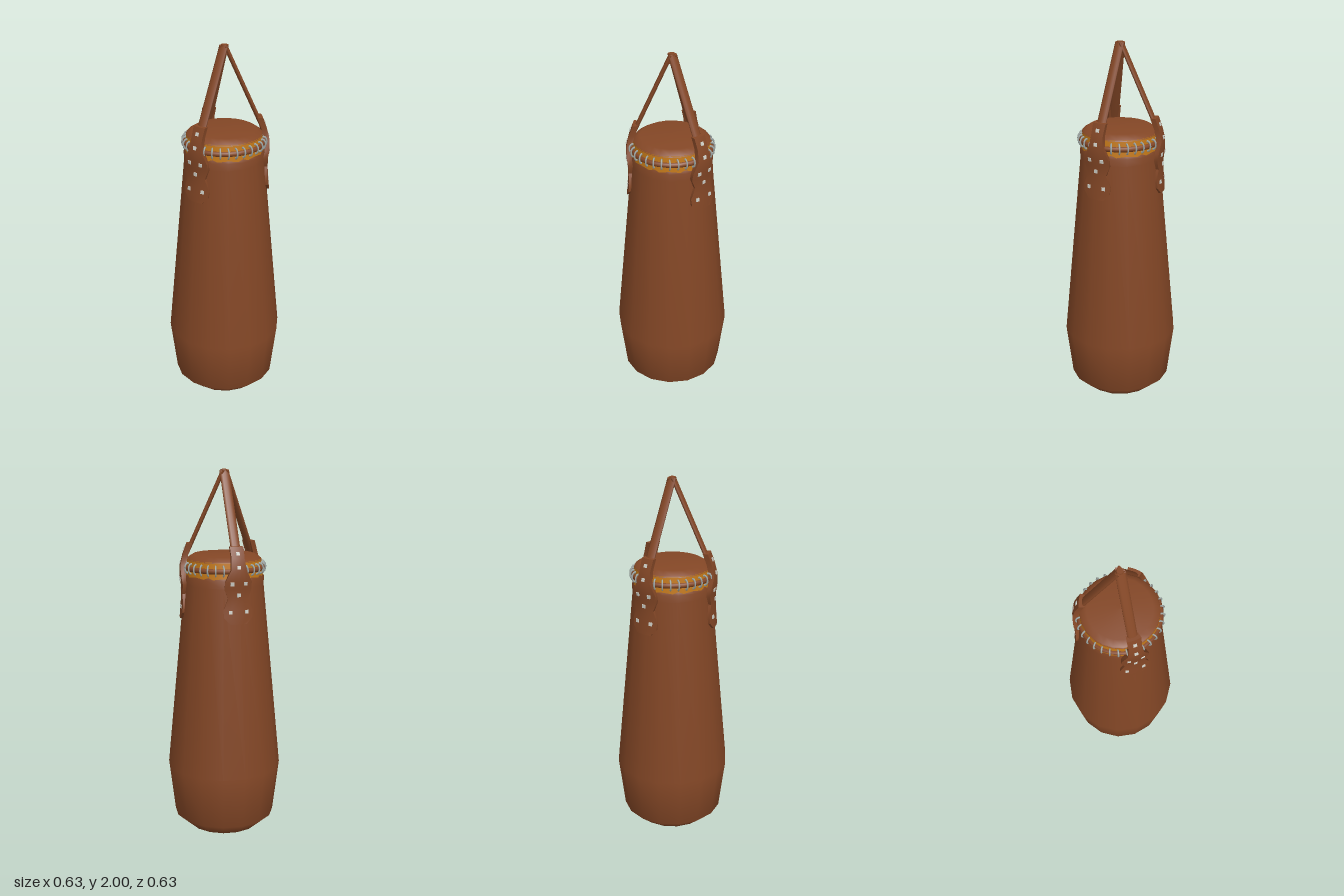
import * as THREE from 'three';
import { toCreasedNormals } from 'three/addons/utils/BufferGeometryUtils.js';

const material = (name, color) => {
  const m = new THREE.MeshStandardMaterial({ color });
  m.name = name;
  return m;
};

function part(name, geometry, mat, parent) {
  const mesh = new THREE.Mesh(geometry, mat);
  mesh.name = name;
  parent.add(mesh);
  return mesh;
}

const lathe = (profile, sides) =>
  new THREE.LatheGeometry(profile.map(([r, y]) => new THREE.Vector2(r, y)), sides);

// Anchor pad rows from top to bottom: height, outer radius, half width, thickness
const PAD_ROWS = [
  [1.61, 0.204, 0.038, 0.03], [1.55, 0.226, 0.036, 0.03], [1.49, 0.241, 0.043, 0.03],
  [1.43, 0.242, 0.075, 0.025], [1.39, 0.236, 0.077, 0.025], [1.34, 0.234, 0.057, 0.02],
  [1.28, 0.238, 0.083, 0.02], [1.24, 0.242, 0.08, 0.02], [1.205, 0.244, 0.045, 0.02],
];

// Curved leather plate lofted through crescent cross-sections
function padGeometry() {
  const cols = 5, n = cols * 2, pos = [], index = [];
  for (const [y, r, half, thick] of PAD_ROWS) {
    for (let j = 0; j < n; j++) {
      const outer = j < cols;
      const k = outer ? j : n - 1 - j;
      const t = (k / (cols - 1) * 2 - 1) * half / r;
      const rad = outer ? r : r - thick;
      pos.push(rad * Math.sin(t), y, rad * Math.cos(t));
    }
  }
  const last = (PAD_ROWS.length - 1) * n;
  for (let row = 0; row < last; row += n) {
    for (let j = 0; j < n; j++) {
      const a = row + j, b = row + (j + 1) % n;
      index.push(a, a + n, b, b, a + n, b + n);
    }
  }
  for (let k = 0; k < cols - 1; k++) {
    const a = k, b = k + 1, c = n - 2 - k, d = n - 1 - k;
    index.push(a, b, c, a, c, d);
    index.push(last + a, last + c, last + b, last + a, last + d, last + c);
  }
  const geo = new THREE.BufferGeometry();
  geo.setAttribute('position', new THREE.Float32BufferAttribute(pos, 3));
  geo.setIndex(index);
  return toCreasedNormals(geo, 0.6);
}

// Outer pad radius at a given height
function padRadius(y) {
  const i = PAD_ROWS.findIndex((row) => row[0] <= y);
  const [y0, r0] = PAD_ROWS[i - 1], [y1, r1] = PAD_ROWS[i];
  return r0 + (r1 - r0) * (y0 - y) / (y0 - y1);
}

export function createModel() {
  const leather = material('brown leather', 0x844726);
  const padding = material('orange lining', 0xc27818);
  const thread = material('grey thread', 0xa3aba8);
  const metal = material('pale metal', 0xcfd0c8);

  const model = new THREE.Group();
  model.name = 'punchingBag';

  // Tapered bag, lining exposed at the seam, and domed lid
  part('bagBody', lathe([[0, 0], [0.2, 0], [0.28, 0.07], [0.315, 0.36],
    [0.216, 1.39], [0.219, 1.43], [0.204, 1.455]], 16), leather, model);
  part('seamLining', lathe([[0.212, 1.435], [0.208, 1.48], [0.203, 1.527]], 24), padding, model);
  part('lid', lathe([[0.205, 1.522], [0.2, 1.53], [0.168, 1.55], [0, 1.553]], 24), leather, model);

  // Seam cord with a ring of lacing
  const cord = part('seamCord', new THREE.TorusGeometry(0.208, 0.014, 8, 24), leather, model);
  cord.rotation.x = Math.PI / 2;
  cord.position.y = 1.48;

  const lacing = new THREE.Group();
  lacing.name = 'lacing';
  model.add(lacing);
  const loop = new THREE.TorusGeometry(0.018, 0.0045, 5, 12);
  loop.scale(1, 1.45, 1);
  const STITCHES = 32;
  for (let i = 0; i < STITCHES; i++) {
    const a = i / STITCHES * Math.PI * 2;
    const stitch = part('stitch', loop, thread, lacing);
    stitch.position.set(0.209 * Math.cos(a), 1.483, 0.209 * Math.sin(a));
    stitch.rotation.y = -a + 0.2;
  }

  // Three straps meeting at the top, each riveted on through a shaped pad
  const pad = padGeometry();
  const studGeo = new THREE.BoxGeometry(0.019, 0.019, 0.008);
  const studs = [[0, 1.575], [0, 1.505], [-0.037, 1.42], [0.037, 1.42],
    [0, 1.36], [-0.045, 1.27], [0.045, 1.27]];
  const top = new THREE.Vector3(0, 1.994, 0.004);
  const foot = new THREE.Vector3(0, 1.54, 0.208);
  const run = foot.clone().sub(top);
  const strapGeo = new THREE.CylinderGeometry(0.027, 0.027, run.length(), 10);
  strapGeo.scale(1, 1, 0.42);

  [-90, 155, 48].forEach((degrees) => {
    const hanger = new THREE.Group();
    hanger.name = 'hanger';
    hanger.rotation.y = THREE.MathUtils.degToRad(degrees);
    model.add(hanger);

    const strap = part('strap', strapGeo, leather, hanger);
    strap.position.copy(top).add(foot).multiplyScalar(0.5);
    strap.rotation.x = Math.atan2(-run.z, -run.y);

    part('anchorPad', pad, leather, hanger);
    for (const [x, y] of studs) {
      const r = padRadius(y), t = x / r;
      const stud = part('stud', studGeo, metal, hanger);
      stud.position.set(r * Math.sin(t), y, r * Math.cos(t));
      stud.rotation.order = 'YXZ';
      stud.rotation.y = t;
      stud.rotation.x = Math.atan2(padRadius(y + 0.01) - padRadius(y - 0.01), 0.02);
    }
  });

  // Knot where the straps join
  const knot = part('strapJoin', new THREE.CylinderGeometry(0.017, 0.024, 0.05, 10), leather, model);
  knot.position.y = 1.975;

  return model;
}
